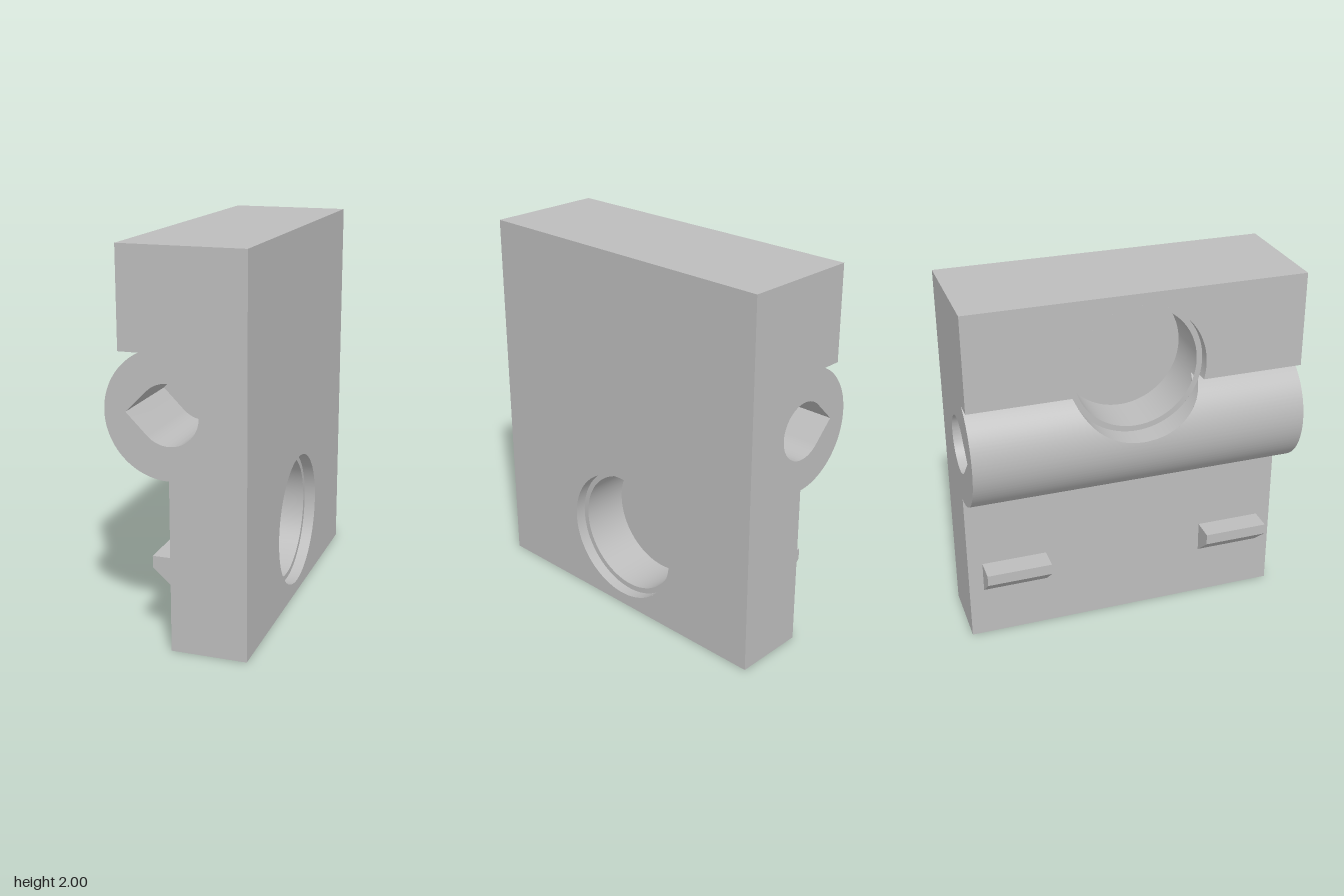
import * as THREE from 'three';
import { toCreasedNormals } from 'three/addons/utils/BufferGeometryUtils.js';

const H = 2, HZ = 0.885;                 // height, half depth
const XR = 0.355, XL = -0.285, XW = -0.035; // right face, upper left face, lower left face
const HY = 1.205, HR = 0.325;            // hinge barrel centre height and radius
const LEDGE = 1.495;                     // underside of the upper block
const R1 = 0.355, R2 = 0.325, STEP = 0.06; // counterbore, bore, counterbore depth
const LOW = 0.42, HIGH = 1.585;          // bore heights
const EPS = 1e-4;

export function createModel() {
  const model = new THREE.Group();
  const grey = new THREE.MeshStandardMaterial({ color: 0xbcbcbc, side: THREE.DoubleSide });
  grey.name = 'grey plastic';

  const add = (name, geometry) => {
    const mesh = new THREE.Mesh(geometry, grey);
    mesh.name = name;
    model.add(mesh);
    return mesh;
  };

  // Surface through equal-length rows of [x, y, z] points
  const sheet = (name, rows) => {
    const n = rows[0].length, index = [];
    for (let i = 0; i < rows.length - 1; i++) {
      for (let j = 0; j < n - 1; j++) {
        const a = i * n + j, b = a + n;
        index.push(a, b, a + 1, b, b + 1, a + 1);
      }
    }
    const g = new THREE.BufferGeometry();
    g.setAttribute('position', new THREE.Float32BufferAttribute(rows.flat(2), 3));
    g.setIndex(index);
    return add(name, toCreasedNormals(g, 0.5));
  };

  // Evenly spaced values plus a pair of values hugging each break
  const samples = (from, to, count, breaks = []) => {
    const list = [];
    for (let i = 0; i <= count; i++) list.push(from + (to - from) * i / count);
    for (const b of breaks) list.push(b - EPS, b + EPS);
    return list.sort((p, q) => p - q);
  };

  // Plain flat faces
  sheet('topFace', [[[XL, H, HZ], [XR, H, HZ]], [[XL, H, -HZ], [XR, H, -HZ]]]);
  sheet('bottomFace', [[[XW, 0, -HZ], [XR, 0, -HZ]], [[XW, 0, HZ], [XR, 0, HZ]]]);
  sheet('lowerLeftFace', [[[XW, 0, -HZ], [XW, 0, HZ]], [[XW, HY - HR, -HZ], [XW, HY - HR, HZ]]]);

  // Right face with the low round hole
  const right = new THREE.Shape();
  right.moveTo(-HZ, 0).lineTo(HZ, 0).lineTo(HZ, H).lineTo(-HZ, H).closePath();
  right.holes.push(new THREE.Path().absarc(0, LOW, R1, 0, Math.PI * 2, true));
  add('rightFace', new THREE.ShapeGeometry(right, 48).rotateY(Math.PI / 2).translate(XR, 0, 0));

  // Upper left face, with the high hole open at its lower edge
  const a0 = Math.asin((HIGH - LEDGE) / R1);
  const left = new THREE.Shape();
  left.moveTo(-HZ, LEDGE).lineTo(-HZ, H).lineTo(HZ, H).lineTo(HZ, LEDGE);
  left.lineTo(R1 * Math.cos(a0), LEDGE);
  left.absarc(0, HIGH, R1, -a0, Math.PI + a0, false);
  left.closePath();
  add('upperLeftFace', new THREE.ShapeGeometry(left, 48).rotateY(-Math.PI / 2).translate(XL, 0, 0));

  // Half width of the high bore at a given x and height
  const cut = (x, y) => {
    const r = x < XL + STEP ? R1 : R2;
    return Math.sqrt(Math.max(0, r * r - (y - HIGH) ** 2));
  };

  // Hinge barrel skin and ledge, interrupted by the high bore
  const aTop = Math.PI - Math.asin((LEDGE - HY) / HR);
  const aStep = Math.acos((XL + STEP - XW) / HR);
  const xLedge = XW + HR * Math.cos(aTop);
  for (const s of [-1, 1]) {
    sheet('hingeBarrel', samples(aTop, Math.PI * 1.5, 120, [aStep]).map((a) => {
      const x = XW + HR * Math.cos(a), y = HY + HR * Math.sin(a);
      return [[x, y, s * cut(x, y)], [x, y, s * HZ]];
    }));
    sheet('ledge', samples(XL, xLedge, 4, [XL + STEP]).map((x) =>
      [[x, LEDGE, s * cut(x, LEDGE)], [x, LEDGE, s * HZ]]));
  }

  // Stepped blind bore: side is the direction its mouth faces
  const bore = (name, side, cy, face, floor, mouth, breakY) => {
    const step = face - side * STEP;
    for (const [r, isOuter] of [[R1, true], [R2, false]]) {
      const b = breakY ? Math.asin((breakY - cy) / r) : 0;
      const angles = samples(-Math.PI / 2, Math.PI * 1.5, 128, breakY ? [b, Math.PI - b] : []);
      sheet(name + (isOuter ? 'Counterbore' : 'Wall'), angles.map((a) => {
        const y = cy + r * Math.sin(a), z = r * Math.cos(a);
        const m = mouth(y), inside = side > 0 ? Math.min(m, step) : Math.max(m, step);
        return isOuter ? [[inside, y, z], [m, y, z]] : [[floor, y, z], [inside, y, z]];
      }));
    }
    add(name + 'Step', new THREE.RingGeometry(R2, R1, 96).rotateY(side * Math.PI / 2).translate(step, cy, 0));
    add(name + 'Floor', new THREE.CircleGeometry(R2, 96).rotateY(side * Math.PI / 2).translate(floor, cy, 0));
  };
  bore('lowBore', 1, LOW, XR, 0.035, () => XR);
  bore('highBore', -1, HIGH, XL, 0.03,
    (y) => (y > LEDGE ? XL : XW - Math.sqrt(HR * HR - (y - HY) ** 2)), LEDGE);

  // Teardrop pin sockets in both end faces
  const PR = 0.153, POCKET = 0.4;
  const drop = new THREE.Shape();
  drop.absarc(XW, HY, PR, -Math.PI * 0.75, Math.PI * 0.75, false);
  drop.lineTo(XW - PR * Math.SQRT2, HY);
  drop.closePath();

  // End faces share the block's outline
  const end = new THREE.Shape();
  end.moveTo(XW, 0).lineTo(XR, 0).lineTo(XR, H).lineTo(XL, H).lineTo(XL, LEDGE).lineTo(xLedge, LEDGE);
  end.absarc(XW, HY, HR, aTop, Math.PI * 1.5, false);
  end.closePath();
  end.holes.push(drop);

  // Wedge-shaped catch
  const catchShape = new THREE.Shape();
  catchShape.moveTo(XW, 0.285).lineTo(XW, 0.455).lineTo(-0.16, 0.455).lineTo(-0.16, 0.395).closePath();

  for (const s of [-1, 1]) {
    const turned = (shape, z) => {
      const g = new THREE.ShapeGeometry(shape, 48);
      if (s < 0) { // reverse the corners so the face looks towards -z
        g.index.array.reverse();
        g.attributes.normal.array.forEach((v, i, arr) => { arr[i] = -v; });
      }
      return g.translate(0, 0, s * z);
    };
    add('endFace', turned(end, HZ));
    add('pinSocketFloor', turned(drop, POCKET));
    sheet('pinSocketWall', drop.getPoints(48).map((p) => [[p.x, p.y, s * POCKET], [p.x, p.y, s * HZ]]));

    const g = new THREE.ExtrudeGeometry(catchShape, { depth: 0.355, bevelEnabled: false });
    add('catch', g.translate(0, 0, s > 0 ? 0.45 : -0.805));
  }
  return model;
}
